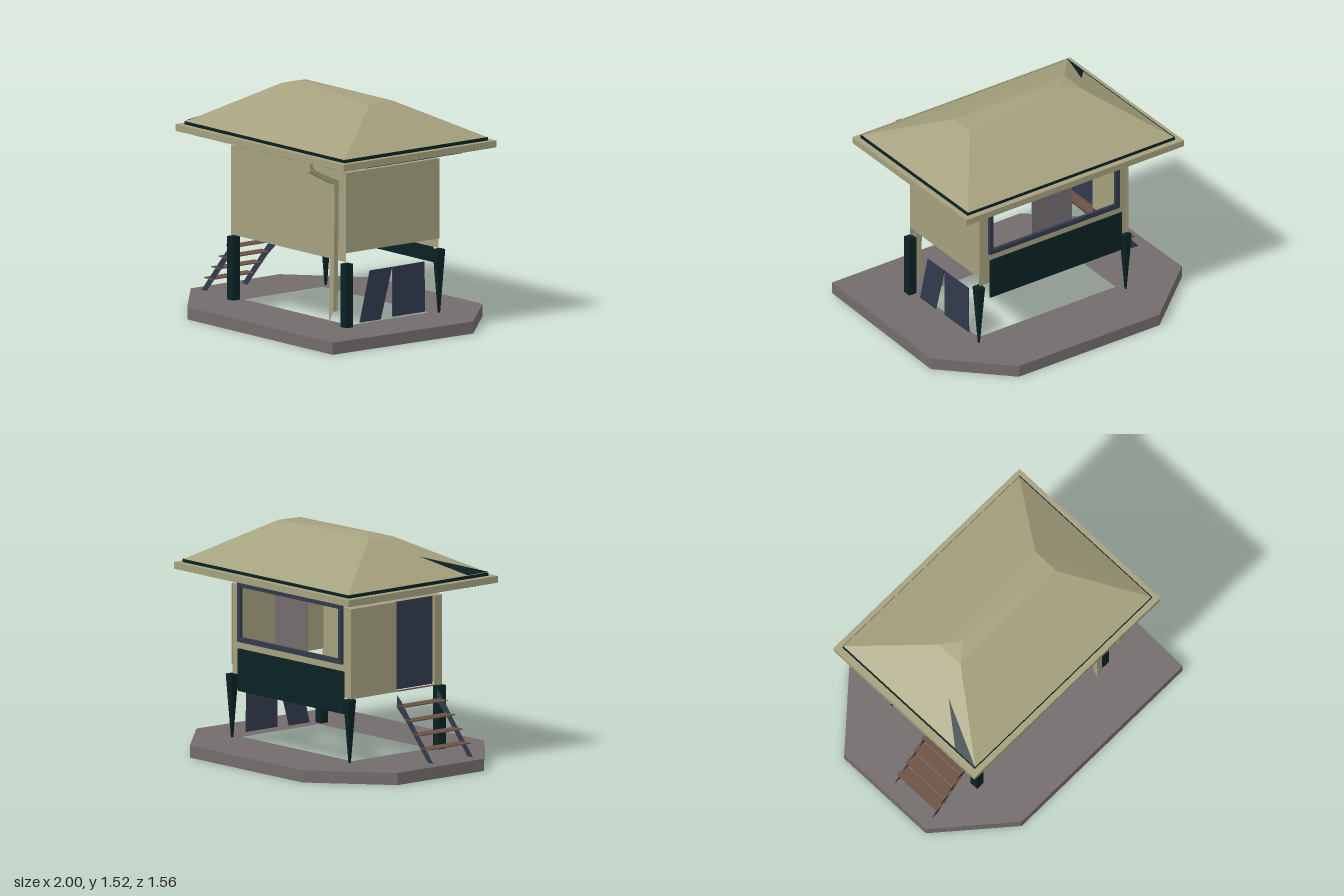
import * as THREE from 'three';
import { ConvexGeometry } from 'three/addons/geometries/ConvexGeometry.js';

export function createModel() {
  const model = new THREE.Group();
  model.name = 'stiltCabin';
  const mat = (name, color, side = THREE.DoubleSide) => {
    const m = new THREE.MeshStandardMaterial({ color, side, flatShading: true });
    m.name = name;
    return m;
  };
  const tan = mat('tanPaint', 0xa5a17e);
  const green = mat('darkGreen', 0x0a2223);
  const gray = mat('grayConcrete', 0x736c6d, THREE.FrontSide);
  const slate = mat('slateBlue', 0x313a4c);
  const brown = mat('brownTread', 0x6b5243);

  const add = (name, geometry, material) => {
    const m = new THREE.Mesh(geometry, material);
    m.name = name;
    model.add(m);
    return m;
  };
  // box given by its limits on each axis
  const box = (name, material, [x0, x1], [y0, y1], [z0, z1]) => {
    const m = add(name, new THREE.BoxGeometry(x1 - x0, y1 - y0, z1 - z0), material);
    m.position.set((x0 + x1) / 2, (y0 + y1) / 2, (z0 + z1) / 2);
    return m;
  };
  const shape = (pts) => new THREE.Shape(pts.map(([a, b]) => new THREE.Vector2(a, b)));
  const rect = (x0, x1, y0, y1) => [[x0, y0], [x1, y0], [x1, y1], [x0, y1]];
  const extrude = (s, depth) => new THREE.ExtrudeGeometry(s, { depth, bevelEnabled: false });
  // profile drawn in (z, y), extruded along x from x0 to x1
  const side = (name, material, pts, x0, x1) => {
    const g = extrude(shape(pts.map(([z, y]) => [-z, y])), x1 - x0);
    return add(name, g.rotateY(Math.PI / 2).translate(x0, 0, 0), material);
  };
  // move the vertices of a geometry by a rule
  const warp = (geometry, rule) => {
    const p = geometry.attributes.position;
    const v = new THREE.Vector3();
    for (let i = 0; i < p.count; i++) {
      rule(v.fromBufferAttribute(p, i));
      p.setXYZ(i, v.x, v.y, v.z);
    }
    geometry.computeVertexNormals();
    return geometry;
  };

  // foundation slab: top, underside and outer rim around an open centre
  const outline = [[-0.53, -0.78], [0.59, -0.78], [1, -0.37], [0.97, 0.78],
    [-0.53, 0.78], [-1, 0.37], [-1, -0.37]];
  const slabFace = (sign) => {
    const s = shape(outline.map(([x, z]) => [x, sign * z]));
    s.holes.push(shape(rect(-0.5, 0.59, -0.33, 0.33)));
    return new THREE.ShapeGeometry(s).rotateX(sign * Math.PI / 2);
  };
  add('slabTop', slabFace(-1).translate(0, 0.08, 0), gray);
  add('slabUnderside', slabFace(1), gray);
  const rim = [];
  outline.forEach(([x0, z0], i) => {
    const [x1, z1] = outline[(i + 1) % outline.length];
    rim.push(x0, 0, z0, x0, 0.08, z0, x1, 0.08, z1, x0, 0, z0, x1, 0.08, z1, x1, 0, z1);
  });
  const rimGeometry = new THREE.BufferGeometry();
  rimGeometry.setAttribute('position', new THREE.Float32BufferAttribute(rim, 3));
  rimGeometry.computeVertexNormals();
  add('slabRim', rimGeometry, gray);

  // stilts: square at the front, tapering to a point at the back
  for (const x of [-0.54, 0.628]) {
    box('frontStilt', green, [x - 0.029, x + 0.029], [0.08, 0.5], [0.355, 0.415]);
    const back = warp(new THREE.BoxGeometry(0.058, 0.42, 0.06), (v) => {
      if (v.y < 0) v.set(v.x * 0.12, v.y, v.z * 0.25);
    });
    add('backStilt', back, green).position.set(x, 0.29, -0.385);
  }

  // front wall with a slightly sloping top, and inner ceiling
  add('frontWall', new THREE.ShapeGeometry(
    shape([[-0.555, 0.51], [0.625, 0.51], [0.625, 1.155], [0.55, 1.155], [-0.555, 1.1]])
  ).translate(0, 0, 0.39), tan);
  box('innerCeiling', tan, [-0.55, 0.62], [1.095, 1.1], [-0.384, 0.389]);

  // side walls and door
  box('leftWall', tan, [0.617, 0.627], [0.57, 1.1], [-0.39, 0.39]);
  box('rightWallPanel', tan, [-0.56, -0.55], [0.505, 1.1], [-0.39, 0]);
  box('rightWallPost', tan, [-0.56, -0.55], [0.505, 1.1], [0.325, 0.39]);
  box('door', slate, [-0.56, -0.55], [0.52, 1.1], [0, 0.31]);

  // back wall with window opening
  const backWall = shape(rect(-0.555, 0.625, 0.505, 1.1));
  backWall.holes.push(shape(rect(-0.45, 0.525, 0.75, 1.09)));
  add('backWall', new THREE.ShapeGeometry(backWall).translate(0, 0, -0.385), tan);
  const frame = shape(rect(-0.48, 0.555, 0.725, 1.12));
  frame.holes.push(shape(rect(-0.45, 0.525, 0.757, 1.09)));
  add('windowFrame', extrude(frame, 0.022).translate(0, 0, -0.407), slate);
  box('windowPane', gray, [-0.115, 0.205], [0.755, 1.094], [-0.384, -0.378]);
  box('backSkirtPanel', green, [-0.5, 0.55], [0.4, 0.68], [-0.405, -0.395]);

  // loose panels under the left side
  side('leaningPanel', slate, [[0.275, 0.095], [0.1, 0.095], [0.005, 0.43], [0.19, 0.43]], 0.622, 0.628);
  side('lowerPanel', slate, [[0, 0.1], [-0.27, 0.1], [-0.265, 0.432], [0, 0.43]], 0.622, 0.628);

  // stairs to the door
  for (const z of [0.005, 0.345]) {
    add('stairStringer', new THREE.ShapeGeometry(
      shape([[-0.92, 0.08], [-0.865, 0.08], [-0.66, 0.31], [-0.56, 0.4], [-0.56, 0.48], [-0.6, 0.45]])
    ).translate(0, 0, z), slate);
  }
  for (let i = 0; i < 4; i++) {
    const x = -0.885 + i * 0.076, y = 0.165 + i * 0.083;
    box('stairTread', brown, [x, x + 0.09], [y, y + 0.006], [-0.005, 0.355]);
  }
  box('doorThreshold', brown, [-0.57, -0.55], [0.507, 0.512], [0, 0.345]);

  // soffit, fascia ring and green eave band
  box('ceiling', green, [-0.6, 0.85], [1.168, 1.185], [-0.4, 0.4]);
  box('eaveBand', green, [-0.78, 0.87], [1.178, 1.251], [-0.6, 0.6]);
  add('soffit', new THREE.ShapeGeometry(shape(rect(-0.82, 0.903, -0.635, 0.635)))
    .rotateX(Math.PI / 2).translate(0, 1.184, 0), green);
  const fascia = shape(rect(-0.825, 0.908, -0.64, 0.64));
  fascia.holes.push(shape(rect(-0.78, 0.87, -0.6, 0.6)));
  add('fascia', extrude(fascia, 0.044).rotateX(Math.PI / 2).translate(0, 1.23, 0), tan);

  // hipped roof with a raised peak
  const roofPoints = [
    [-0.775, 1.25, -0.6], [0.865, 1.25, -0.6], [0.865, 1.25, 0.6], [-0.775, 1.25, 0.6],
    [-0.4, 1.5, -0.1], [-0.4, 1.5, 0.1], [0.5, 1.5, -0.1], [0.5, 1.495, 0.09], [-0.28, 1.522, 0],
  ].map((p) => new THREE.Vector3(...p));
  add('roof', new ConvexGeometry(roofPoints), tan);

  // exposed green patch on the right roof slope
  const patch = new THREE.BufferGeometry().setFromPoints(
    [[0, 0.42], [0, 0.6], [0.19, 0.175]].map(([d, z]) =>
      new THREE.Vector3(-0.778 + d, 1.255 + d * 0.667, z)));
  patch.computeVertexNormals();
  add('roofPatch', patch, green);

  // downpipe from the front gutter, cut at a slant at the bottom
  const pipe = side('downpipe', tan, [[0.64, 1.236], [0.64, 1.125], [0.435, 1.02], [0.445, 0.1],
    [0.41, 0.18], [0.4, 1.04], [0.6, 1.135], [0.635, 1.2]], 0.52, 0.565);
  warp(pipe.geometry, (v) => {
    if (v.y < 0.15 && v.x > 0.55) v.y = 0.18;
  });

  return model;
}
